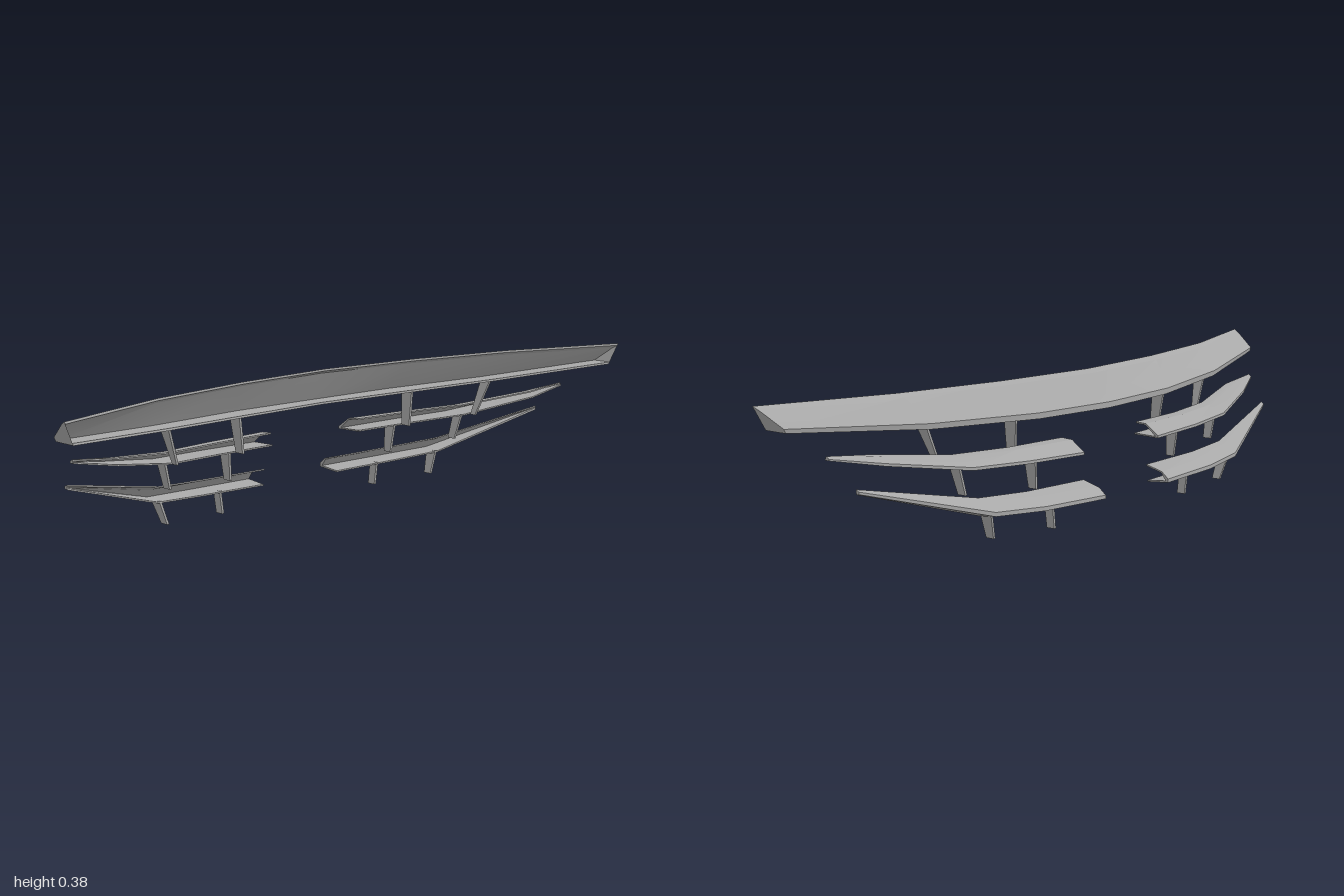
import * as THREE from 'three';
import { toCreasedNormals } from 'three/addons/utils/BufferGeometryUtils.js';

const grey = new THREE.MeshStandardMaterial({ color: 0xa8a8a8, side: THREE.DoubleSide });
grey.name = 'grey';

// V-shaped section, open to the front: sloping flap over a thin tray.
// Row: x, top edge z y, bevel z y, rear z, rear top y, rear bottom y, tray front z y
function section([x, az, ay, mz, my, rz, ry, by, fz, fy], rake, t) {
  const pts = [
    [az, ay], [mz, my], [rz, ry], [rz, by], [fz, fy],
    [fz, fy + t], [rz + 2.2 * t, by + t], [mz + 0.3 * t, my - t], [az, ay - t],
  ];
  return pts.map(([z, y]) => [x - Math.sign(x) * rake * (ay - y), y, z]);
}

// Skin the sections from -x to +x; each end is either an open V or a closed plate
function loft(name, rows, rake, t, closedEnds) {
  const rings = [...rows].sort((a, b) => a[0] - b[0]).map((r) => section(r, rake, t));
  const pos = [];
  const tri = (...p) => p.forEach((v) => pos.push(...v));
  const n = rings[0].length;
  for (let i = 0; i < rings.length - 1; i++) {
    for (let j = 0; j < n; j++) {
      const k = (j + 1) % n;
      const a = rings[i][j], b = rings[i][k], c = rings[i + 1][k], d = rings[i + 1][j];
      tri(a, d, c);
      tri(a, c, b);
    }
  }
  [rings[0], rings[rings.length - 1]].forEach((ring, e) => {
    const outline = closedEnds[e] ? ring.slice(0, 5) : ring;
    const flat = outline.map((p) => new THREE.Vector2(p[2], p[1]));
    for (const f of THREE.ShapeUtils.triangulateShape(flat, [])) {
      const [a, b, c] = f.map((q) => outline[q]);
      // Wind each cap so that it faces outwards
      const nx = (b[1] - a[1]) * (c[2] - a[2]) - (b[2] - a[2]) * (c[1] - a[1]);
      if ((nx > 0) === (e === 1)) tri(a, b, c);
      else tri(a, c, b);
    }
  });
  const g = new THREE.BufferGeometry();
  g.setAttribute('position', new THREE.Float32BufferAttribute(pos, 3));
  const mesh = new THREE.Mesh(toCreasedNormals(g, 0.4), grey);
  mesh.name = name;
  return mesh;
}

// Thin strut plate: top and bottom given as [x, y, front z, rear z]
function strut(name, top, bottom, side) {
  const g = new THREE.BoxGeometry(1, 1, 1);
  const p = g.attributes.position;
  for (let i = 0; i < p.count; i++) {
    const [x, y, f, r] = p.getY(i) > 0 ? top : bottom;
    p.setXYZ(i, side * x + p.getX(i) * 0.007, y, p.getZ(i) > 0 ? f : r);
  }
  g.computeVertexNormals();
  const mesh = new THREE.Mesh(g, grey);
  mesh.name = name;
  return mesh;
}

export function createModel() {
  const model = new THREE.Group();
  model.name = 'slattedWing';
  const flip = (rows) => rows.map(([x, ...r]) => [-x, ...r]);

  // Full-width upper wing, swept forward at the tips
  const half = [
    [0.32, 0.01, 0.375, -0.012, 0.366, -0.08, 0.295, 0.279, 0, 0.279],
    [0.64, 0.07, 0.375, 0.05, 0.366, -0.012, 0.303, 0.288, 0.06, 0.288],
    [1, 0.19, 0.375, 0.172, 0.366, 0.11, 0.325, 0.314, 0.18, 0.314],
  ];
  const centre = [0, -0.018, 0.375, -0.042, 0.366, -0.095, 0.292, 0.276, -0.028, 0.276];
  model.add(loft('upperWing', [...flip(half), centre, ...half], 0.5, 0.006, [true, true]));

  // Slats under the wing, tapering to raised tips
  const middle = [
    [0.16, -0.06, 0.213, -0.095, 0.211, -0.137, 0.182, 0.175, -0.055, 0.177],
    [0.36, -0.045, 0.213, -0.078, 0.211, -0.122, 0.187, 0.179, -0.04, 0.179],
    [0.54, -0.012, 0.216, -0.045, 0.213, -0.092, 0.193, 0.185, -0.005, 0.185],
    [0.76, 0.055, 0.24, 0.03, 0.238, -0.012, 0.226, 0.219, 0.065, 0.221],
    [0.89, 0.06, 0.254, 0.057, 0.253, 0.05, 0.248, 0.244, 0.064, 0.244],
  ];
  const lower = [
    [0.137, -0.115, 0.103, -0.168, 0.089, -0.19, 0.071, 0.061, -0.12, 0.055],
    [0.36, -0.108, 0.106, -0.15, 0.094, -0.176, 0.076, 0.065, -0.107, 0.06],
    [0.52, -0.09, 0.113, -0.122, 0.102, -0.148, 0.084, 0.073, -0.092, 0.067],
    [0.86, -0.009, 0.178, -0.012, 0.176, -0.018, 0.173, 0.167, -0.009, 0.165],
  ];

  // Struts stacked in two columns on each side
  const struts = [
    ['upperOuterStrut', [0.59, 0.289, 0.05, 0.015], [0.55, 0.19, 0.03, 0.012]],
    ['upperInnerStrut', [0.318, 0.282, 0, -0.04], [0.308, 0.183, 0, -0.028]],
    ['middleOuterStrut', [0.548, 0.187, -0.022, -0.055], [0.527, 0.115, -0.03, -0.055]],
    ['middleInnerStrut', [0.307, 0.181, -0.058, -0.096], [0.298, 0.1, -0.065, -0.09]],
    ['lowerOuterStrut', [0.513, 0.072, -0.092, -0.128], [0.49, 0.007, -0.09, -0.115]],
    ['lowerInnerStrut', [0.293, 0.064, -0.115, -0.142], [0.284, 0, -0.115, -0.14]],
  ];
  for (const side of [1, -1]) {
    const tag = side > 0 ? 'left' : 'right';
    const ends = side > 0 ? [false, true] : [true, false];
    const place = (rows) => (side > 0 ? rows : flip(rows));
    model.add(loft(tag + 'MiddleSlat', place(middle), 0, 0.004, ends));
    model.add(loft(tag + 'LowerSlat', place(lower), 0, 0.004, ends));
    for (const [name, top, bottom] of struts) model.add(strut(tag + '_' + name, top, bottom, side));
  }
  return model;
}
